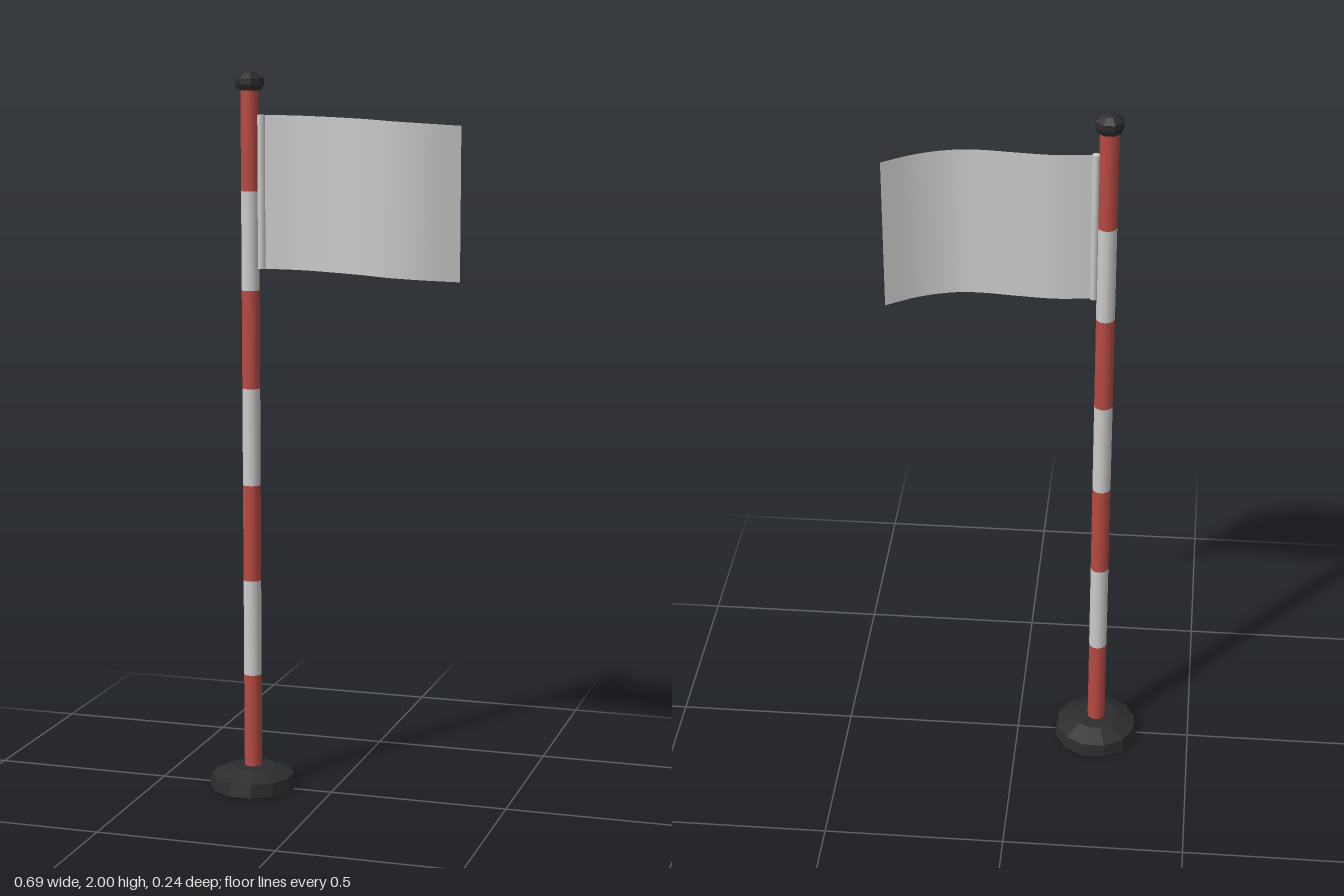
import * as THREE from 'three';

const RED = 0xb84a42, DARK = 0x2c2c2f, GREY = 0xcccccc;
const POLE_X = -0.23, POLE_R = 0.025;

function part(parent, name, geometry, color, options = {}) {
  const material = new THREE.MeshStandardMaterial({ color, ...options });
  const mesh = new THREE.Mesh(geometry, material);
  mesh.name = name;
  parent.add(mesh);
  return mesh;
}

// Faceted lathe turned so that flat sides face the axes
function facetedLathe(profile, sides) {
  const points = profile.map(([r, y]) => new THREE.Vector2(r / Math.cos(Math.PI / sides), y));
  return new THREE.LatheGeometry(points, sides).rotateY(Math.PI / sides);
}

export function createModel() {
  const model = new THREE.Group();
  model.name = 'flagPole';

  // Weighted foot
  const base = part(model, 'base', facetedLathe(
    [[0, 0], [0.118, 0], [0.112, 0.037], [0.06, 0.06], [0, 0.063]], 12), DARK, { flatShading: true });
  base.position.x = POLE_X;

  // Striped pole
  const pole = new THREE.Group();
  pole.name = 'pole';
  pole.position.x = POLE_X;
  model.add(pole);
  const bottom = 0.055, stripe = 0.27;
  for (let i = 0; i < 7; i++) {
    const ends = i > 0 && i < 6;
    const geometry = new THREE.CylinderGeometry(POLE_R, POLE_R, stripe, 12, 1, ends);
    const mesh = part(pole, i % 2 ? 'whiteStripe' : 'redStripe', geometry, i % 2 ? GREY : RED);
    mesh.position.y = bottom + (i + 0.5) * stripe;
  }

  // Domed cap
  const cap = part(model, 'cap', facetedLathe(
    [[0, 1.945], [0.029, 1.945], [0.036, 1.96], [0.036, 1.977], [0.02, 1.991], [0, 2]], 8),
    DARK, { flatShading: true });
  cap.position.x = POLE_X;

  // Sleeve holding the cloth against the pole
  const sleeve = part(model, 'flagSleeve', new THREE.CylinderGeometry(0.011, 0.011, 0.415, 8), GREY);
  sleeve.position.set(-0.198, 1.672, 0);

  // Cloth: a sheet bent along a wave, sagging towards its free end
  const wave = new THREE.CatmullRomCurve3([
    [-0.198, 0], [-0.1, -0.008], [0, 0.003], [0.1, 0.019],
    [0.17, 0.023], [0.26, 0.003], [0.347, -0.04],
  ].map(([x, z]) => new THREE.Vector3(x, 0, z)));
  const cloth = new THREE.PlaneGeometry(1, 0.415, 24, 1);
  const pos = cloth.attributes.position;
  for (let i = 0; i < pos.count; i++) {
    const t = pos.getX(i) + 0.5;
    const p = wave.getPoint(t);
    pos.setXYZ(i, p.x, 1.672 + pos.getY(i) - 0.025 * Math.pow(t, 1.7), p.z);
  }
  cloth.computeVertexNormals();
  part(model, 'flagCloth', cloth, GREY, { side: THREE.DoubleSide });

  return model;
}
